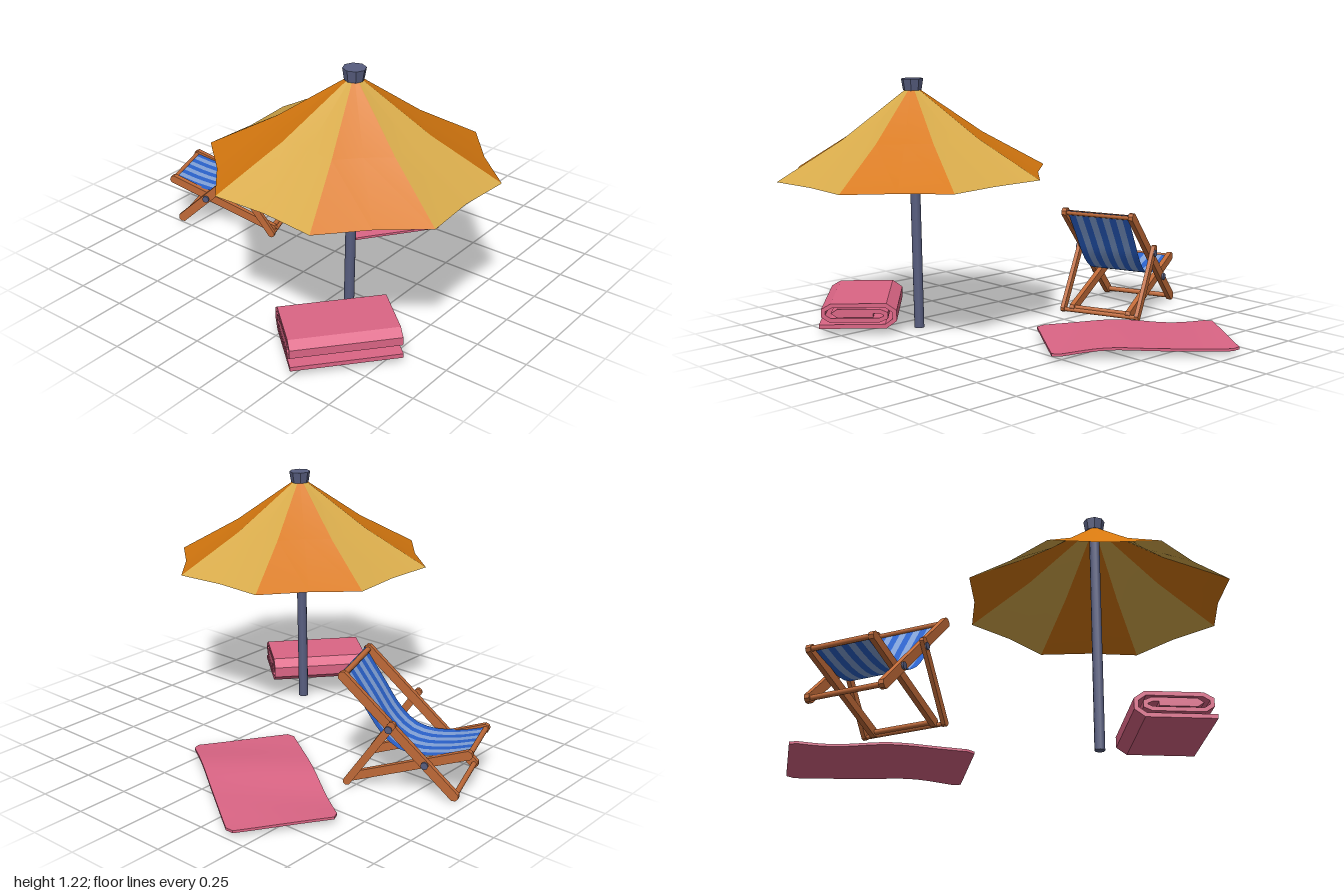
import * as THREE from 'three';

const mat = (name, color, side = THREE.FrontSide) => {
  const m = new THREE.MeshStandardMaterial({ color, side });
  m.name = name;
  return m;
};

export function createModel() {
  const yellow = mat('canopy yellow', 0xd9ac4c, THREE.DoubleSide);
  const orange = mat('canopy orange', 0xd6780f, THREE.DoubleSide);
  const slate = mat('slate metal', 0x585e80);
  const wood = mat('wood', 0xc06a38);
  const blue = mat('fabric blue', 0x2a62cc, THREE.DoubleSide);
  const pale = mat('fabric pale blue', 0x82a2d8, THREE.DoubleSide);
  const pink = mat('towel pink', 0xdb6585);

  const model = new THREE.Group();
  model.name = 'beachSet';
  const group = (name, x, y, z, ry) => {
    const g = new THREE.Group();
    g.name = name;
    g.position.set(x, y, z);
    g.rotation.y = ry;
    model.add(g);
    return g;
  };
  const add = (parent, name, geo, material, x = 0, y = 0, z = 0) => {
    const m = new THREE.Mesh(geo, material);
    m.name = name;
    m.position.set(x, y, z);
    parent.add(m);
    return m;
  };
  // Smooth sheet from a grid function: point(row, column) -> [x, y, z]
  const sheet = (rows, cols, point) => {
    const pos = [], idx = [];
    for (let i = 0; i <= rows; i++)
      for (let j = 0; j <= cols; j++) {
        pos.push(...point(i, j));
        if (i < rows && j < cols) {
          const a = i * (cols + 1) + j, b = a + cols + 1;
          idx.push(a, b, b + 1, a, b + 1, a + 1);
        }
      }
    const g = new THREE.BufferGeometry();
    g.setAttribute('position', new THREE.Float32BufferAttribute(pos, 3));
    g.setIndex(idx);
    g.computeVertexNormals();
    return g;
  };

  // ---- Parasol, leaning very slightly ----
  const parasol = group('parasol', 0.375, 0, 0.375, 0);
  parasol.rotation.z = -0.019;
  add(parasol, 'pole', new THREE.CylinderGeometry(0.025, 0.025, 1.17, 10), slate, 0, 0.585);
  add(parasol, 'cap', new THREE.CylinderGeometry(0.053, 0.044, 0.055, 8).toNonIndexed(), slate, 0, 1.19)
    .geometry.computeVertexNormals();
  const rib = [[0.015, 1.18], [0.345, 0.945], [0.66, 0.765]];
  for (let k = 0; k < 8; k++) {
    const panel = sheet(2, 2, (i, j) => {
      const a = (k + (j - 1) / 2) * Math.PI / 4;
      const [r, y] = rib[i];
      const rr = j === 1 ? r * Math.cos(Math.PI / 8) - 0.009 * i : r; // cloth sags between ribs
      return [rr * Math.sin(a), y, rr * Math.cos(a)];
    });
    add(parasol, 'canopyPanel', panel, k % 2 ? orange : yellow);
  }

  // ---- Deck chair: local x runs from seat front to backrest ----
  const chair = group('deckChair', -0.644, 0, -0.011, THREE.MathUtils.degToRad(20));
  const rail = (name, [x0, y0], [x1, y1], v, w, d) => {
    const L = Math.hypot(x1 - x0, y1 - y0) / 2, h = w / 2, c = w * 0.3;
    const s = new THREE.Shape([
      [-L, -h + c], [-L + c, -h], [L - c, -h], [L, -h + c],
      [L, h - c], [L - c, h], [-L + c, h], [-L, h - c],
    ].map(p => new THREE.Vector2(...p)));
    const g = new THREE.ExtrudeGeometry(s, { depth: d, bevelEnabled: false }).translate(0, 0, -d / 2);
    for (const side of [-1, 1])
      add(chair, name, g, wood, (x0 + x1) / 2, (y0 + y1) / 2, side * v).rotation.z = Math.atan2(y1 - y0, x1 - x0);
  };
  rail('backRail', [-0.26, 0.015], [0.3, 0.545], 0.18, 0.044, 0.025);
  rail('seatRail', [-0.315, 0.235], [0.26, 0.025], 0.154, 0.042, 0.025);
  rail('propLeg', [0.035, 0.35], [0.262, 0.012], 0.203, 0.036, 0.02);

  const rod = (name, x, y, half, r, material) =>
    add(chair, name, new THREE.CylinderGeometry(r, r, half * 2, 8).rotateX(Math.PI / 2), material, x, y);
  rod('topBar', 0.285, 0.53, 0.18, 0.013, wood);
  rod('backFootBar', -0.247, 0.027, 0.18, 0.013, wood);
  rod('seatFrontBar', -0.3, 0.228, 0.154, 0.013, wood);
  rod('seatFootBar', 0.24, 0.033, 0.154, 0.013, wood);
  rod('propFootBar', 0.255, 0.022, 0.2, 0.011, wood);
  for (const side of [-1, 1])
    for (const [x, y, v] of [[0.058, 0.315, 0.207], [-0.108, 0.16, 0.19]])
      add(chair, 'pin', new THREE.CylinderGeometry(0.018, 0.018, 0.024, 8).rotateX(Math.PI / 2),
        slate, x, y, side * v);

  // Striped sling
  const sling = new THREE.CatmullRomCurve3([
    [0.297, 0.542], [0.2, 0.4], [0.11, 0.27], [0.03, 0.205], [-0.06, 0.188], [-0.18, 0.203], [-0.305, 0.238],
  ].map(([x, y]) => new THREE.Vector3(x, y, 0)));
  const slingPts = sling.getSpacedPoints(16);
  const stripes = 9;
  for (let s = 0; s < stripes; s++) {
    const g = sheet(16, 1, (i, j) => {
      const p = slingPts[i], half = 0.164 - 0.016 * i / 16;
      return [p.x, p.y, half * (2 * (s + j) / stripes - 1)];
    });
    add(chair, 'slingStripe', g, s % 2 ? pale : blue);
  }

  // ---- Spread towel, gently rippled with clipped corners ----
  const spread = group('spreadTowel', -0.185, 0, -0.545, -THREE.MathUtils.degToRad(34.6));
  const cloth = new THREE.BoxGeometry(0.865, 0.012, 0.49, 24, 1, 8);
  const cp = cloth.attributes.position;
  for (let i = 0; i < cp.count; i++) {
    const x = cp.getX(i), z = cp.getZ(i);
    const end = Math.max(0, Math.abs(x) - 0.4) / 0.0325;
    const ripple = 0.036 + 0.012 * Math.cos((x - 0.13) * 7) + 0.003 * Math.sin(x * 14 + z * 6);
    cp.setY(i, cp.getY(i) + ripple);
    cp.setZ(i, z * (1 - 0.09 * end * end));
  }
  cloth.computeVertexNormals();
  add(spread, 'towelSheet', cloth, pink);

  // ---- Rolled towel: a thick spiral strip extruded along the roll ----
  const roll = group('rolledTowel', 0.52, 0.03, 0.642, -THREE.MathUtils.degToRad(40.2));
  const path = [
    [0.19, 0.012], [-0.13, 0.012], [-0.172, 0.042], [-0.172, 0.084], [-0.13, 0.114], [0.13, 0.114],
    [0.168, 0.092], [0.168, 0.064], [0.135, 0.042], [-0.1, 0.042], [-0.13, 0.055], [-0.13, 0.073],
    [-0.1, 0.086], [0.1, 0.086], [0.118, 0.076], [0.1, 0.066], [-0.07, 0.066],
  ].map(p => new THREE.Vector2(...p));
  const offset = d => path.map((p, i) => {
    const a = path[Math.max(i - 1, 0)], b = path[Math.min(i + 1, path.length - 1)];
    const t0 = p.clone().sub(a).normalize(), t1 = b.clone().sub(p).normalize();
    const t = t0.clone().add(t1).normalize();
    const miter = d / Math.max(0.7, t.dot(i ? t0 : t1));
    return new THREE.Vector2(p.x - t.y * miter, p.y + t.x * miter);
  });
  const strip = new THREE.Shape([...offset(0.01), ...offset(-0.01).reverse()]);
  const rollGeo = new THREE.ExtrudeGeometry(strip, { depth: 0.5, bevelEnabled: false }).translate(0, 0, -0.25);
  add(roll, 'towelRoll', rollGeo, pink);

  return model;
}
